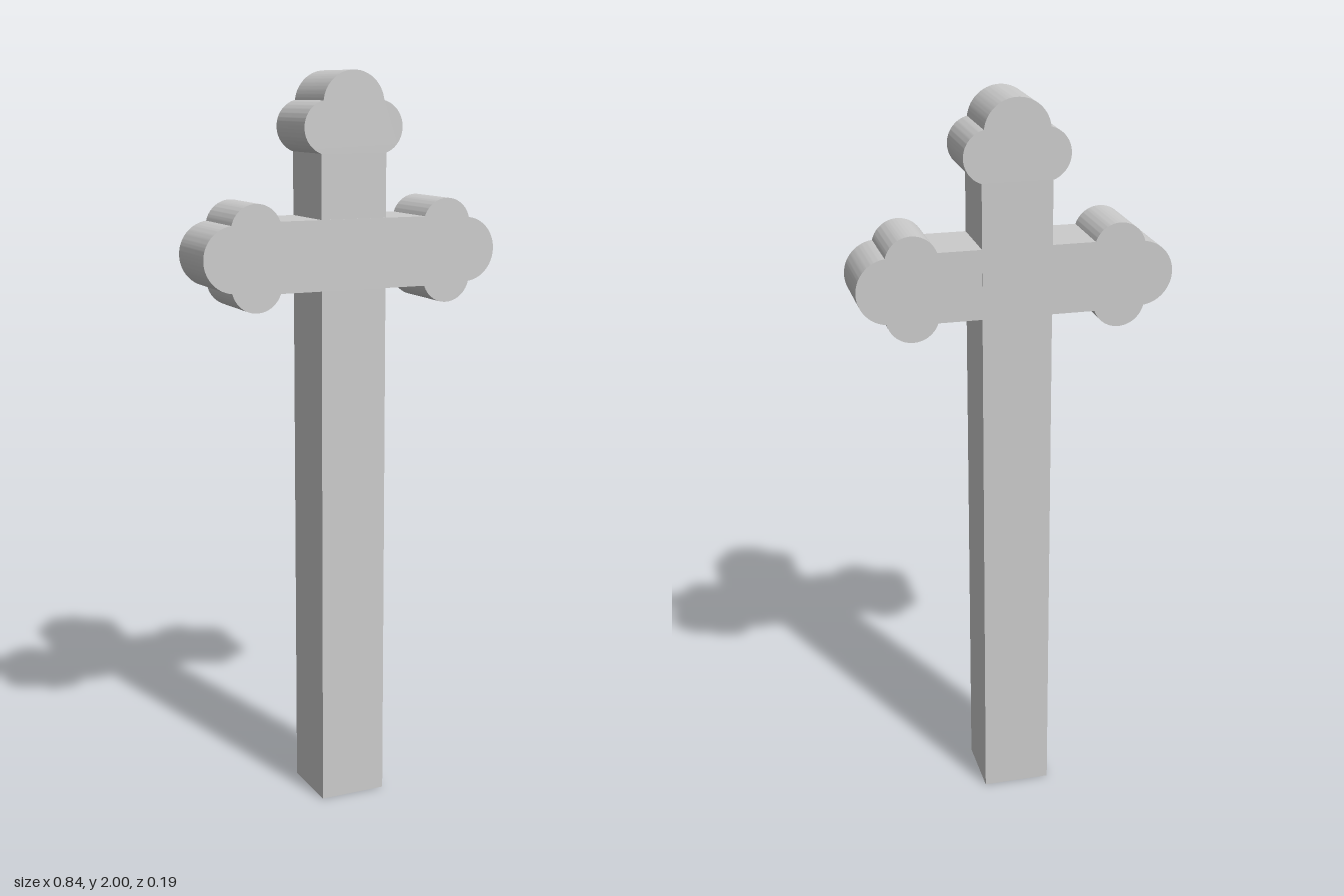
import * as THREE from 'three';
import { toCreasedNormals } from 'three/addons/utils/BufferGeometryUtils.js';

const HALF = 0.093;            // half thickness of both beams
const R_END = 0.087, R_SIDE = 0.07;
const STEP = 0.058;            // end lobe centre beyond the side lobe centres

// Traces a three-lobed beam end counter-clockwise; turn 0 points up.
function addTrefoil(shape, x, y, turn) {
  const d = Math.hypot(R_SIDE, STEP);
  const a = (R_END ** 2 - R_SIDE ** 2 + d * d) / (2 * d);
  const h = Math.sqrt(R_END ** 2 - a * a);
  // point where the side lobe meets the end lobe
  const px = (a * R_SIDE + h * STEP) / d;
  const py = STEP + (h * R_SIDE - a * STEP) / d;
  const start = -Math.acos((HALF - R_SIDE) / R_SIDE);
  const sideEnd = Math.atan2(py, px - R_SIDE);
  const endStart = Math.atan2(py - STEP, px);
  const lobe = (cx, cy, r, from, to) => {
    const c = Math.cos(turn), s = Math.sin(turn);
    shape.absarc(x + cx * c - cy * s, y + cx * s + cy * c, r, from + turn, to + turn, false);
  };
  lobe(R_SIDE, 0, R_SIDE, start, sideEnd);
  lobe(0, STEP, R_END, endStart, Math.PI - endStart);
  lobe(-R_SIDE, 0, R_SIDE, Math.PI - sideEnd, Math.PI - start);
}

function beam(name, shape, zOffset) {
  const geo = new THREE.ExtrudeGeometry(shape, { depth: 2 * HALF, bevelEnabled: false, curveSegments: 28 });
  geo.translate(0, 0, zOffset - HALF);
  const mesh = new THREE.Mesh(toCreasedNormals(geo, 0.4), new THREE.MeshStandardMaterial({ color: 0xcccccc }));
  mesh.name = name;
  return mesh;
}

export function createModel() {
  const model = new THREE.Group();
  model.name = 'cross';

  // Upright with a trefoil top
  const upright = new THREE.Shape();
  upright.moveTo(-HALF, 0);
  upright.lineTo(HALF, 0);
  addTrefoil(upright, 0, 1.855, 0);
  upright.closePath();

  // Crossbar with a trefoil at each end
  const crossbar = new THREE.Shape();
  addTrefoil(crossbar, 0.275, 1.527, -Math.PI / 2);
  addTrefoil(crossbar, -0.275, 1.527, Math.PI / 2);
  crossbar.closePath();

  // The crossbar sits a hair forward of the upright
  model.add(beam('upright', upright, -0.001), beam('crossbar', crossbar, 0));
  return model;
}
